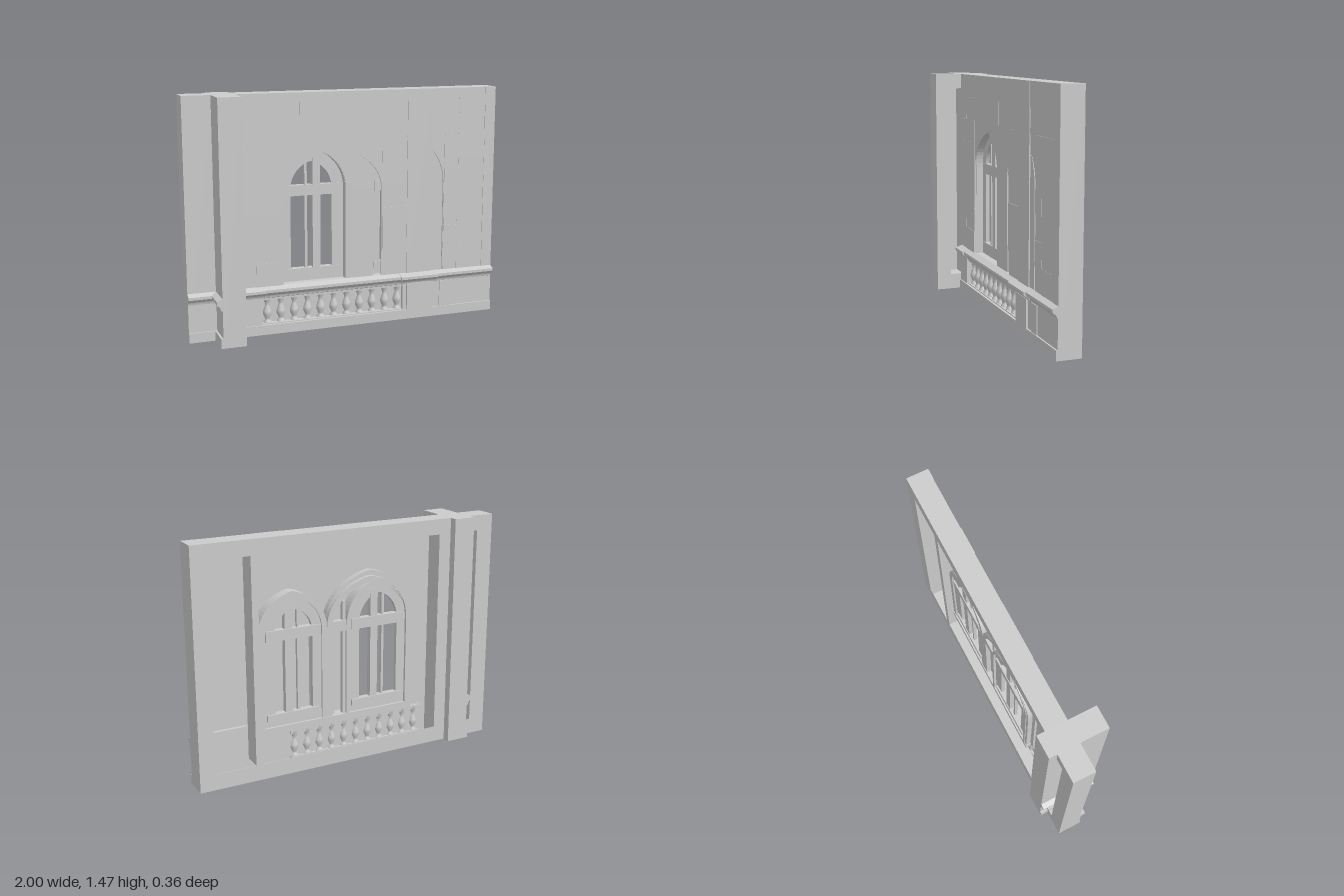
import * as THREE from 'three';

const H = 1.465;

export function createModel() {
  const model = new THREE.Group();
  const mat = new THREE.MeshStandardMaterial({ color: 0xcccccc, side: THREE.DoubleSide });
  const add = (name, geo) => {
    const m = new THREE.Mesh(geo, mat);
    m.name = name;
    model.add(m);
    return m;
  };
  // Box given by its limits on each axis
  const box = (name, x0, x1, y0, y1, z0, z1) => {
    const g = new THREE.BoxGeometry(x1 - x0, y1 - y0, z1 - z0);
    g.translate((x0 + x1) / 2, (y0 + y1) / 2, (z0 + z1) / 2);
    return add(name, g);
  };
  const trace = (p, x0, x1, y0, y1) => {
    p.moveTo(x0, y0);
    p.lineTo(x1, y0);
    p.lineTo(x1, y1);
    p.lineTo(x0, y1);
    p.closePath();
    return p;
  };
  // Slightly pointed arch outline
  const arch = (p, x0, x1, y0, spring, top) => {
    const c = (x0 + x1) / 2, w = (x1 - x0) / 2, h = top - spring;
    p.moveTo(x0, y0);
    p.lineTo(x1, y0);
    p.lineTo(x1, spring);
    p.bezierCurveTo(x1, spring + h * 0.52, c + w * 0.55, top - h * 0.1, c, top);
    p.bezierCurveTo(c - w * 0.55, top - h * 0.1, x0, spring + h * 0.52, x0, spring);
    p.closePath();
    return p;
  };
  const slab = (name, shape, holes, z0, z1) => {
    shape.holes.push(...holes);
    const g = new THREE.ExtrudeGeometry(shape, { depth: z1 - z0, bevelEnabled: false, curveSegments: 14 });
    g.translate(0, 0, z0);
    return add(name, g);
  };
  let seed = 7;
  const rand = () => (seed = (seed * 16807) % 2147483647) / 2147483647;

  const path = () => new THREE.Path(), shape = () => new THREE.Shape();
  const balusterHole = () => trace(path(), -0.55, 0.375, 0.06, 0.235);

  // Structural frame: a back plate with an opening, hollow top and bottom, solid posts
  const frame = (name, x0, x1, open0, open1) => {
    slab(name + 'Back', trace(shape(), x0, x1, 0, H), [trace(path(), open0, open1, 0.1, 1.37)], -0.13, -0.127);
    box(name + 'Top', x0, x1, H - 0.003, H, -0.13, -0.004);
    box(name + 'Bottom', x0, x1, 0, 0.003, -0.13, -0.004);
    box(name + 'Post', x0, open0, 0, H, -0.13, -0.004);
    box(name + 'Post', open1, x1, 0, H, -0.13, -0.004);
  };
  frame('wallFrame', -0.69, 1, -0.61, 0.905);
  frame('endFrame', -1, -0.82, -0.89, -0.825);
  box('frameRib', 0.605, 0.645, 0.1, 1.37, -0.13, -0.008);

  // Cross wall pier with a slot on its left side
  box('pierCore', -0.82, -0.69, 0, H, -0.18, 0);
  box('pierPost', -0.82, -0.69, 0, H, 0.085, 0.18);
  box('pierFoot', -0.82, -0.69, 0, 0.1, 0, 0.085);
  box('pierHead', -0.82, -0.69, 1.37, H, 0, 0.085);
  box('pierFacing', -0.829, -0.82, 0, H, -0.18, 0.18);
  box('pierPlinth', -0.842, -0.82, 0, 0.06, -0.18, 0.18);

  // Crescent where the edge of the blind niche shows through the facing
  const crescent = path();
  crescent.moveTo(0.638, 0.3);
  crescent.lineTo(0.65, 0.3);
  crescent.lineTo(0.65, 0.88);
  crescent.quadraticCurveTo(0.645, 1.0, 0.575, 1.075);
  crescent.quadraticCurveTo(0.632, 1.0, 0.638, 0.88);
  crescent.closePath();

  // Facing with the wide arch, and the inner wall with two niches
  slab('facing', trace(shape(), -0.69, 1, 0, H),
    [arch(path(), -0.41, 0.23, 0.3, 0.86, 1.13), crescent, balusterHole()], -0.006, 0.003);
  slab('innerWall', trace(shape(), -0.61, 0.9, 0.004, H - 0.004),
    [arch(path(), -0.405, -0.005, 0.3, 0.88, 1.12), arch(path(), 0.17, 0.57, 0.3, 0.86, 1.1), balusterHole()],
    -0.014, -0.006);
  box('endFacing', -1, -0.82, 0, H, -0.006, 0.005);

  // Stone courses with slight relief
  for (let i = 0; i < 8; i++) {
    const y0 = 0.3 + i * 0.1456, y1 = y0 + 0.1456;
    const cuts = i < 6 ? [[-0.69, -0.58], [-0.58, -0.415], [0.235, 0.4], [0.655, 0.75], [0.75, 0.93]]
      : [[-0.69, -0.58], [-0.58, -0.3], [-0.3, 0.05], [0.05, 0.4], [0.57, 0.75], [0.75, 0.93]];
    for (const [a, b] of cuts) box('stoneBlock', a, b, y0, y1, 0, 0.004 + rand() * 0.004);
  }
  box('pilaster', 0.4, 0.57, 0.3, H, 0, 0.01);
  box('edgePilaster', 0.93, 1, 0.3, H, 0, 0.01);

  // Arch casings seen behind the wall
  const casing = (name, x0, x1, top, t, z0) => slab(name,
    arch(shape(), x0 - t, x1 + t, 0.28, 0.87, top + t),
    [arch(path(), x0, x1, 0.3, 0.87, top)], z0, -0.012);
  casing('leftCasing', 0.18, 0.565, 1.09, 0.035, -0.085);
  casing('wideCasing', -0.41, 0.11, 1.12, 0.035, -0.085);
  casing('wideCasingStep', -0.41, 0.08, 1.12, 0.065, -0.055);
  casing('rightCasing', -0.405, -0.005, 1.12, 0.02, -0.09);

  // Window frames with mullions and transom
  const windowFrame = (x0, x1, top) => {
    const c = (x0 + x1) / 2;
    slab('windowFrame', arch(shape(), x0, x1, 0.3, 0.88, top),
      [arch(path(), x0 + 0.06, x1 - 0.075, 0.38, 0.87, top - 0.075)], -0.075, -0.05);
    box('transom', x0 + 0.02, x1 - 0.02, 0.835, 0.9, -0.085, -0.045);
    box('mullion', c, c + 0.05, 0.36, top - 0.05, -0.08, -0.045);
    box('thinMullion', c - 0.05, c - 0.034, 0.36, top - 0.06, -0.07, -0.05);
    box('windowSill', x0 + 0.02, x1 - 0.02, 0.34, 0.38, -0.085, -0.045);
  };
  windowFrame(-0.405, -0.005, 1.12);
  windowFrame(0.18, 0.565, 1.09);
  // Blind side light of the wide bay
  box('sideMullion', 0.015, 0.035, 0.3, 1.02, -0.075, -0.05);
  box('sideTransom', 0.0, 0.11, 0.835, 0.9, -0.085, -0.045);

  // Moulded ledge, extruded along a length
  const ledge = (name, len, reach) => {
    const s = new THREE.Shape();
    s.moveTo(0, 0.225);
    s.lineTo(reach * 0.35, 0.232);
    s.quadraticCurveTo(reach * 0.45, 0.255, reach * 0.85, 0.26);
    s.lineTo(reach, 0.268);
    s.lineTo(reach, 0.285);
    s.lineTo(0, 0.302);
    s.closePath();
    const g = new THREE.ExtrudeGeometry(s, { depth: len, bevelEnabled: false, curveSegments: 5 });
    g.rotateY(-Math.PI / 2); // length to -x, reach to +z
    return add(name, g);
  };
  ledge('ledge', 1.69, 0.043).position.x = 1;
  ledge('endLedge', 0.18, 0.04).position.x = -0.82;
  ledge('ledgeBreak', 0.26, 0.055).position.x = 0.61;
  ledge('ledgeBreak', 0.16, 0.052).position.x = -0.53;
  const side = ledge('pierLedge', 0.36, 0.034);
  side.rotation.y = -Math.PI / 2;
  side.position.set(-0.828, 0, 0.18);
  box('innerSill', -0.45, 0.6, 0.255, 0.3, -0.09, 0);

  // Dado and plinth around the balustrade
  box('dado', -0.69, -0.55, 0.06, 0.235, 0, 0.014);
  box('dado', 0.375, 1, 0.06, 0.235, 0, 0.012);
  box('pedestal', 0.4, 0.57, 0.05, 0.235, 0, 0.024);
  box('dadoPanel', 0.63, 0.715, 0.055, 0.23, 0, 0.018);
  box('plinth', -0.69, 1, 0, 0.06, 0, 0.022);
  box('endPlinth', -1, -0.82, 0, 0.06, 0, 0.022);
  box('endDado', -1, -0.82, 0.06, 0.235, 0, 0.013);
  box('rearPanel', 0.385, 0.6, 0.06, 0.255, -0.04, -0.01);
  box('rearSidePanel', 0.66, 0.9, 0.06, 0.32, -0.035, -0.01);

  // Balusters joined to a thin backing
  box('balustradeBack', -0.56, 0.385, 0.05, 0.245, -0.031, -0.027);
  box('balustradeRail', -0.55, 0.375, 0.215, 0.24, -0.045, 0.004);
  box('balustradeBase', -0.55, 0.375, 0.05, 0.066, -0.045, 0.006);
  const profile = [[0.024, 0.06], [0.024, 0.075], [0.014, 0.082], [0.016, 0.095], [0.027, 0.12],
    [0.025, 0.14], [0.014, 0.17], [0.012, 0.19], [0.02, 0.197], [0.016, 0.205], [0.025, 0.215], [0.025, 0.235]];
  const baluster = new THREE.LatheGeometry(profile.map(([r, y]) => new THREE.Vector2(r, y)), 14);
  for (let i = 0; i < 11; i++) add('baluster', baluster).position.set(-0.508 + i * 0.0856, 0, -0.024);

  return model;
}
